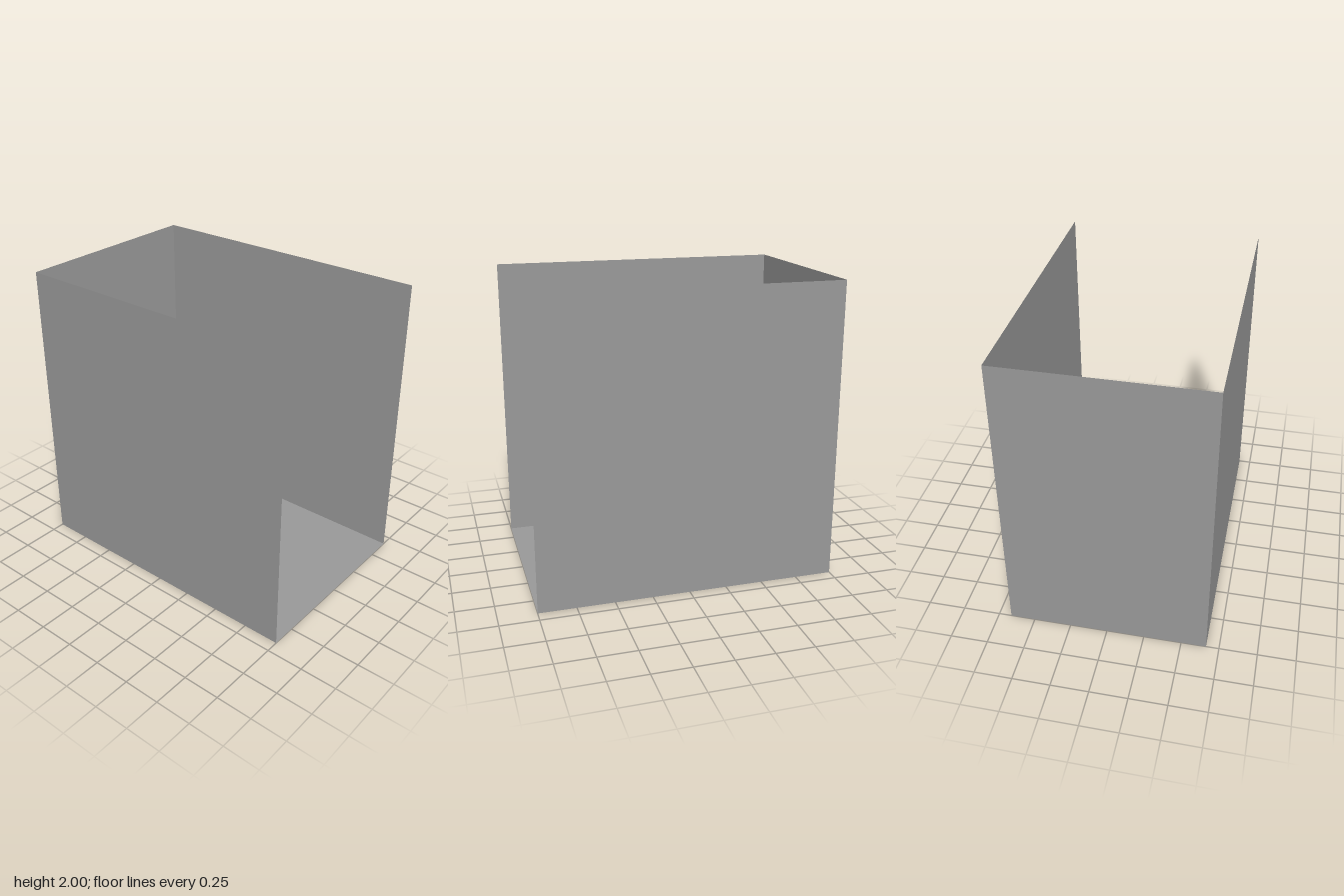
import * as THREE from 'three';

const W = 1.33, H = 2, D = 2;

// Rounded rectangle outline, used for the frame and its openings
function roundedRect(target, x0, y0, x1, y1, r) {
  target.moveTo(x0 + r, y0);
  target.lineTo(x1 - r, y0);
  target.quadraticCurveTo(x1, y0, x1, y0 + r);
  target.lineTo(x1, y1 - r);
  target.quadraticCurveTo(x1, y1, x1 - r, y1);
  target.lineTo(x0 + r, y1);
  target.quadraticCurveTo(x0, y1, x0, y1 - r);
  target.lineTo(x0, y0 + r);
  target.quadraticCurveTo(x0, y0, x0 + r, y0);
  return target;
}

export function createModel() {
  const model = new THREE.Group();
  model.name = 'windowInOpenBox';

  const wallGrey = new THREE.MeshStandardMaterial({ color: 0x999999, side: THREE.DoubleSide });
  wallGrey.name = 'wallGrey';
  const paleWood = new THREE.MeshStandardMaterial({ color: 0xc6b299 });
  paleWood.name = 'paleWood';

  // Single-sheet panels: the box is open at the top and front
  function panel(name, w, h, position, rotation) {
    const mesh = new THREE.Mesh(new THREE.PlaneGeometry(w, h), wallGrey);
    mesh.name = name;
    mesh.position.set(...position);
    mesh.rotation.set(...rotation);
    model.add(mesh);
  }
  panel('floor', W, D, [0, 0, 0], [-Math.PI / 2, 0, 0]);
  panel('backWall', W, H, [0, H / 2, -D / 2], [0, 0, 0]);
  panel('leftWall', D, H, [W / 2, H / 2, 0], [0, Math.PI / 2, 0]);
  panel('rightWall', D, H, [-W / 2, H / 2, 0], [0, -Math.PI / 2, 0]);

  // Free-standing two-pane frame with slightly softened edges
  const outline = roundedRect(new THREE.Shape(), -0.482, 0.196, 0.482, 0.808, 0.006);
  for (const [x0, x1] of [[-0.459, -0.023], [0.023, 0.459]]) {
    outline.holes.push(roundedRect(new THREE.Path(), x0, 0.219, x1, 0.785, 0.009));
  }
  const bevel = 0.004, depth = 0.036;
  const geometry = new THREE.ExtrudeGeometry(outline, {
    depth: depth - 2 * bevel, curveSegments: 4, bevelEnabled: true,
    bevelThickness: bevel, bevelSize: bevel, bevelOffset: -bevel, bevelSegments: 2,
  });
  geometry.translate(0, 0, bevel - depth / 2 - 0.002);
  const frame = new THREE.Mesh(geometry, paleWood);
  frame.name = 'windowFrame';
  model.add(frame);

  return model;
}
